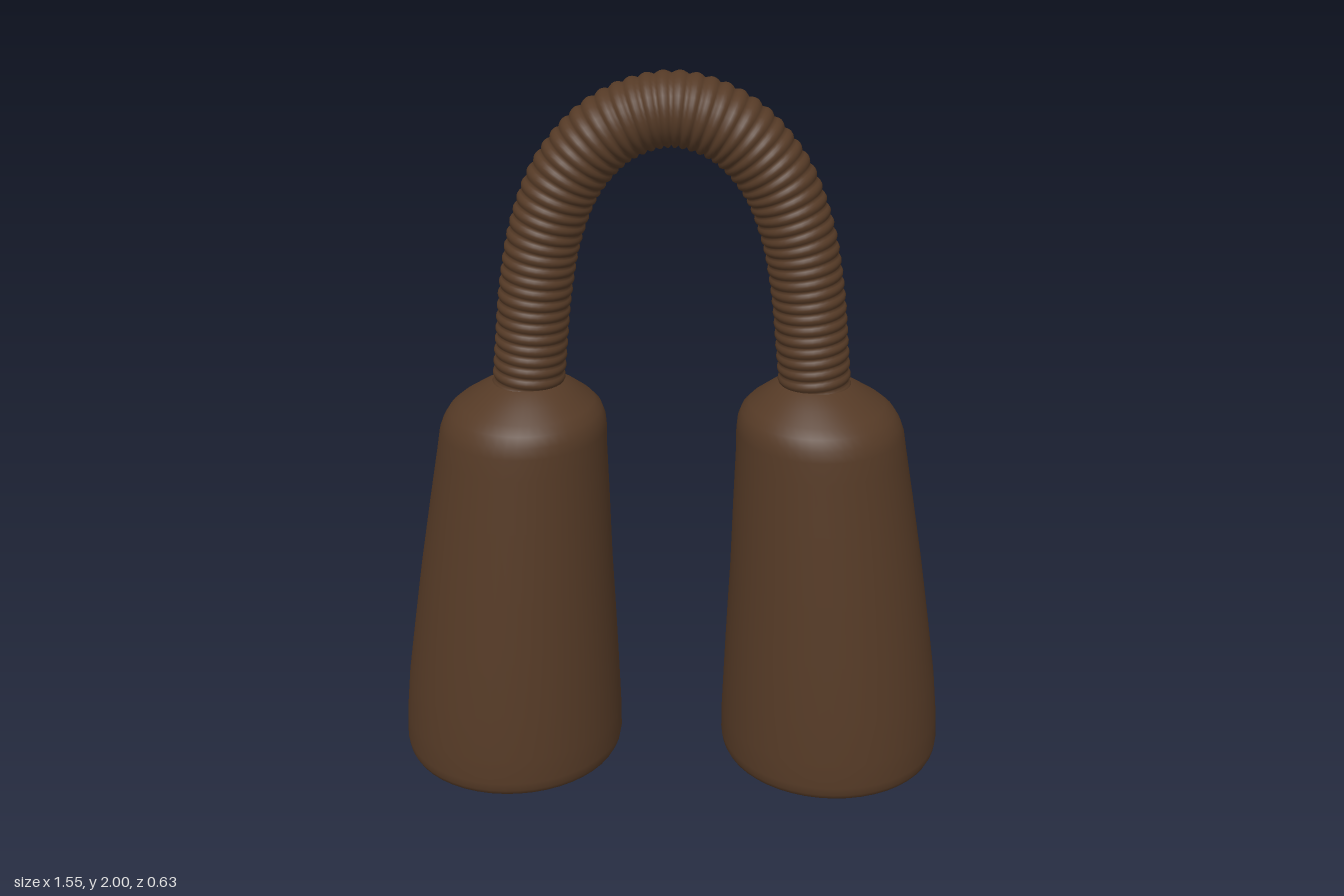
import * as THREE from 'three';
import { mergeVertices } from 'three/addons/utils/BufferGeometryUtils.js';

const brown = new THREE.MeshStandardMaterial({ color: 0x553a26 });

// Weld the seam of a closed sweep and give it smooth normals
function smooth(geometry) {
  geometry.deleteAttribute('uv');
  geometry.deleteAttribute('normal');
  const welded = mergeVertices(geometry, 1e-5);
  welded.computeVertexNormals();
  return welded;
}

// Distance of a cup's leaning centre line from x = 0, by height
const lean = [[0, 0.463], [0.2, 0.459], [0.6, 0.437], [1.0, 0.408], [1.15, 0.387], [1.3, 0.375]];
function centreAt(y) {
  let i = 0;
  while (i < lean.length - 2 && y > lean[i + 1][0]) i++;
  const [y0, c0] = lean[i], [y1, c1] = lean[i + 1];
  return c0 + (c1 - c0) * (y - y0) / (y1 - y0);
}

// Hollow cup: inner wall, rounded lip, outer wall and sloping shoulder
function makeCup(side) {
  const inner = [[0, 1.08], [0.08, 1.07], [0.17, 1.03], [0.2, 0.97], [0.215, 0.85], [0.24, 0.6],
    [0.267, 0.3], [0.28, 0.1], [0.279, 0.03]];
  const lip = [[0.281, 0.012], [0.286, 0.003], [0.294, 0], [0.304, 0.006], [0.311, 0.02], [0.315, 0.045]];
  const outer = [[0.313, 0.12], [0.304, 0.25], [0.288, 0.42], [0.27, 0.6], [0.25, 0.8], [0.234, 0.95],
    [0.229, 1.01], [0.222, 1.04], [0.208, 1.068], [0.185, 1.09], [0.14, 1.122], [0.1, 1.148], [0.07, 1.156]];
  const points = [...inner, ...lip, ...outer].map(([r, y]) => new THREE.Vector2(r, y));
  const geometry = new THREE.LatheGeometry(points, 48);
  const pos = geometry.attributes.position;
  for (let i = 0; i < pos.count; i++) pos.setX(i, pos.getX(i) + side * centreAt(pos.getY(i)));
  const cup = new THREE.Mesh(smooth(geometry), brown);
  cup.name = side > 0 ? 'leftCup' : 'rightCup';
  return cup;
}

// Corrugated hose arching from one cup to the other
function makeHose() {
  const half = [[0.39, 1.12], [0.378, 1.25], [0.36, 1.42], [0.328, 1.58], [0.265, 1.73], [0.15, 1.85]];
  const path = new THREE.CatmullRomCurve3([
    ...half.map(([x, y]) => new THREE.Vector3(x, y, 0)),
    new THREE.Vector3(0, 1.897, 0),
    ...half.slice().reverse().map(([x, y]) => new THREE.Vector3(-x, y, 0)),
  ]);
  const ridges = 60, steps = 6, sides = 32, segments = ridges * steps;
  const geometry = new THREE.TubeGeometry(path, segments, 1, sides, false);
  const pos = geometry.attributes.position;
  const v = new THREE.Vector3();
  for (let i = 0; i <= segments; i++) {
    const centre = path.getPointAt(i / segments);
    const radius = 0.091 + 0.008 * Math.abs(Math.sin(Math.PI * i / steps));
    for (let j = 0; j <= sides; j++) {
      const k = i * (sides + 1) + j;
      v.fromBufferAttribute(pos, k).sub(centre).multiplyScalar(radius).add(centre);
      pos.setXYZ(k, v.x, v.y, v.z);
    }
  }
  const hose = new THREE.Mesh(smooth(geometry), brown);
  hose.name = 'corrugatedHose';
  return hose;
}

export function createModel() {
  brown.name = 'darkBrown';
  const model = new THREE.Group();
  model.name = 'twinCupsWithHose';
  model.add(makeCup(1), makeCup(-1), makeHose());
  return model;
}
